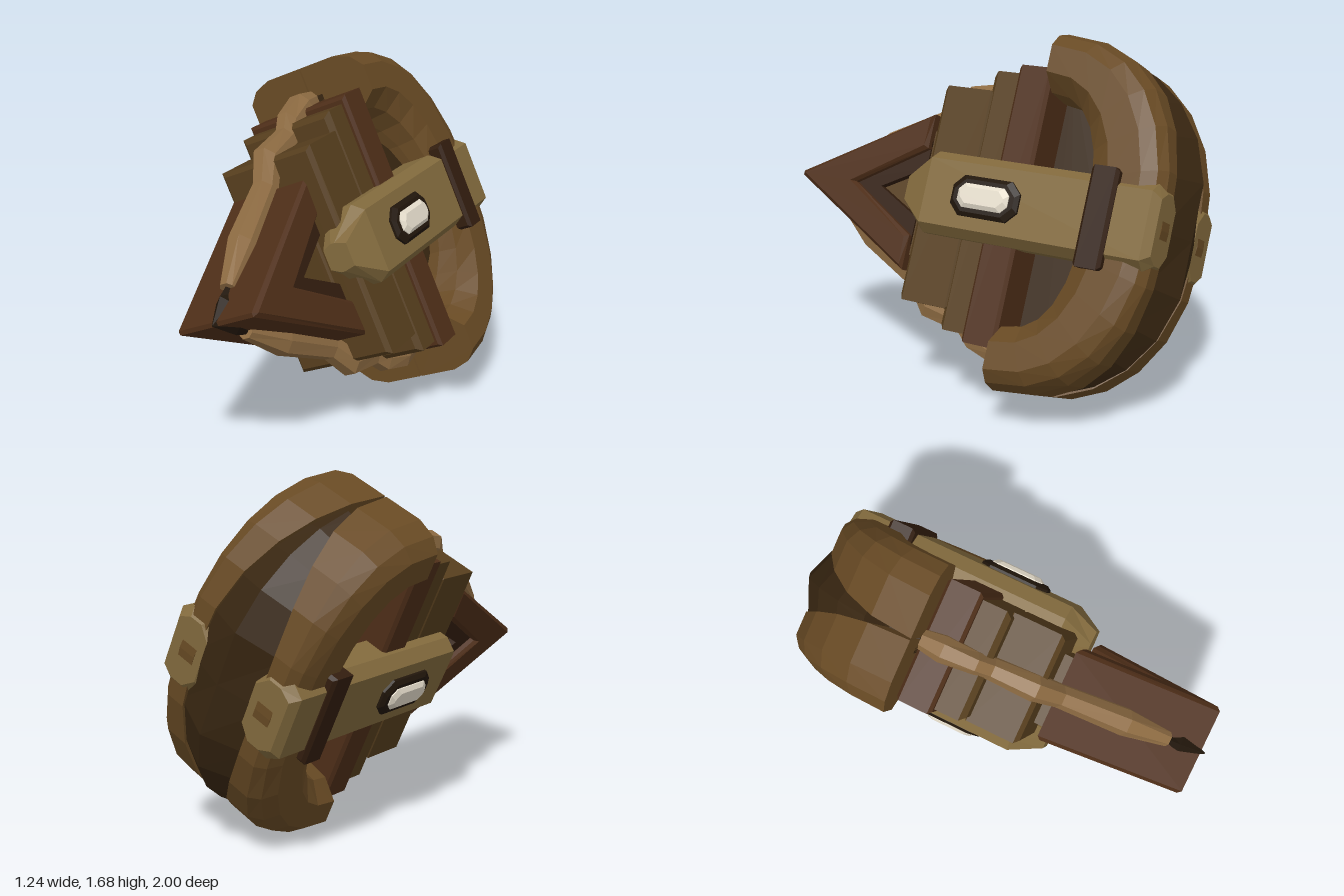
import * as THREE from 'three';

const mat = (color) => new THREE.MeshStandardMaterial({ color, flatShading: true, roughness: 0.9 });
const M = {
  tube: mat(0x684a24), block: mat(0x563e1d), frame: mat(0x4e2e18), dark: mat(0x21160b), keel: mat(0x382611),
  bar: mat(0x826a3d), vine: mat(0x8d6b42), strap: mat(0x321d0e), gem: mat(0xe4dccb),
};

function mesh(name, geometry, material, parent) {
  const m = new THREE.Mesh(geometry, material);
  m.name = name;
  parent.add(m);
  return m;
}

// Closed skin through rings of [x, y, z] points, turned outwards by its volume.
function loft(rings) {
  const tris = [], n = rings[0].length;
  for (let i = 0; i < rings.length - 1; i++) {
    for (let j = 0; j < n; j++) {
      const k = (j + 1) % n, [a, b, c, d] = [rings[i][j], rings[i][k], rings[i + 1][k], rings[i + 1][j]];
      tris.push([a, b, c], [a, c, d]);
    }
  }
  const first = rings[0], last = rings[rings.length - 1];
  for (let j = 1; j < n - 1; j++) {
    tris.push([first[0], first[j + 1], first[j]], [last[0], last[j], last[j + 1]]);
  }
  const V = (p) => new THREE.Vector3(...p);
  let volume = 0;
  for (const [a, b, c] of tris) volume += V(a).dot(V(b).cross(V(c)));
  if (volume < 0) tris.forEach((t) => t.reverse());
  const g = new THREE.BufferGeometry();
  g.setAttribute('position', new THREE.Float32BufferAttribute(tris.flat(2), 3));
  g.computeVertexNormals();
  return g;
}

// Box with bevelled edges, given by half sizes and a z range.
function bevelBox(hx, hy, z0, z1, b) {
  const s = new THREE.Shape();
  const x = hx - b, y = hy - b;
  s.moveTo(-x, -y).lineTo(x, -y).lineTo(x, y).lineTo(-x, y).closePath();
  const g = new THREE.ExtrudeGeometry(s, {
    depth: z1 - z0 - 2 * b, bevelSize: b, bevelThickness: b, bevelSegments: 1,
  });
  return g.translate(0, 0, z0 + b);
}

// Side profile of [z, y] points extruded across x.
function acrossX(points, halfWidth, b) {
  const s = new THREE.Shape(points.map(([z, y]) => new THREE.Vector2(z, y)));
  const g = new THREE.ExtrudeGeometry(s, {
    depth: 2 * (halfWidth - b), bevelEnabled: b > 0, bevelSize: b, bevelOffset: -b,
    bevelThickness: b, bevelSegments: 1,
  });
  return g.translate(0, 0, b - halfWidth).rotateY(-Math.PI / 2);
}

// Eight-sided plate lying on the side of a bar, long along z.
function sidePlate(hz, hy, x0, x1, cut) {
  const ring = (x, k) => {
    const z = hz - k, y = hy - k, c = cut;
    return [[z, y - c], [z - c, y], [c - z, y], [-z, y - c], [-z, c - y], [c - z, -y], [z - c, -y], [z, c - y]]
      .map(([pz, py]) => [x, py, pz - 0.15]);
  };
  return loft([ring(x0, 0), ring(x1 - 0.015, 0), ring(x1, 0.018)]);
}

// Point on the half oval at the back, blended from the inner (0) to the outer (1) rim.
function oval(angle, t) {
  const p = 0.87;
  const c = Math.cos(angle), s = Math.max(0, Math.sin(angle));
  return [
    Math.sign(c) * Math.pow(Math.abs(c), p) * (0.52 + 0.3 * t),
    -0.3 - Math.pow(s, p) * (0.3 + 0.36 * t),
  ];
}

// Everything that occurs twice, half a turn apart around z.
function createHalf() {
  const half = new THREE.Group();

  // Thick curved tube, its inner flank drawing away from the middle
  const section = [[0.004, 1], [0.2, 1], [0.29, 0.9], [0.343, 0.71], [0.343, 0.3], [0.25, 0.05], [0.1, 0], [0.004, 0]];
  const rings = [];
  for (let i = 0; i <= 12; i++) {
    const a = (Math.PI * i) / 12;
    const gap = 0.19 * Math.sin(a) ** 2;
    rings.push(section.map(([x, t]) => {
      const [y, z] = oval(a, t);
      return [x + gap * (1 - x / 0.343), y, z];
    }));
  }
  mesh('curvedTube', loft(rings), M.tube, half);

  // Side bar with a tapered nose and a chamfered end
  const barRing = (z, k, inner, outer) => [
    [inner, 0.12], [inner + 0.06, 0.19], [outer - 0.06, 0.19], [outer, 0.15],
    [outer, -0.15], [outer - 0.06, -0.19], [inner + 0.06, -0.19], [inner, -0.12],
  ].map(([x, y]) => [x, y * k, z]);
  mesh('sideBar', loft([
    barRing(0.31, 0.36, 0.16, 0.3), barRing(0.17, 1, 0.12, 0.365),
    barRing(-0.92, 1, 0.12, 0.365), barRing(-0.957, 0.82, 0.15, 0.335),
  ]), M.bar, half);
  mesh('barStrap', bevelBox(0.1, 0.222, -0.76, -0.63, 0.015).translate(0.285, 0, 0), M.strap, half);
  mesh('gemSetting', sidePlate(0.17, 0.092, 0.34, 0.392, 0.05), M.dark, half);
  mesh('gem', sidePlate(0.128, 0.055, 0.36, 0.412, 0.03), M.gem, half);

  // Faceted ridge strip stepping down the blocks to the wedge: y, z, half width, thickness
  const path = [
    [0.67, -0.29, 0.045, 0.03], [0.67, -0.19, 0.06, 0.045], [0.62, -0.05, 0.05, 0.05], [0.56, 0.02, 0.05, 0.045],
    [0.52, 0.22, 0.06, 0.05], [0.4, 0.32, 0.052, 0.045], [0.24, 0.62, 0.062, 0.05], [0.11, 0.82, 0.035, 0.02],
  ];
  mesh('ridgeStrip', loft(path.map(([y, z, w, h], i) => {
    const a = path[Math.max(0, i - 1)], b = path[Math.min(path.length - 1, i + 1)];
    const len = Math.hypot(b[0] - a[0], b[1] - a[1]);
    const ny = (b[1] - a[1]) / len, nz = (a[0] - b[0]) / len;
    return [[-w, -h], [-w, 0], [-w * 0.5, h], [w * 0.5, h], [w, 0], [w, -h]]
      .map(([x, d]) => [x, y + ny * d, z + nz * d]);
  })), M.vine, half);
  return half;
}

export function createModel() {
  const model = new THREE.Group();
  const body = new THREE.Group();
  body.name = 'body';
  body.rotation.z = THREE.MathUtils.degToRad(25);
  body.position.y = 0.84;
  model.add(body);

  const half = createHalf();
  half.name = 'leftHalf';
  const other = half.clone();
  other.name = 'rightHalf';
  other.rotation.z = Math.PI;
  body.add(half, other);

  // Stepped blocks, touching one another
  mesh('frontBlock', bevelBox(0.26, 0.51, -0.02, 0.25, 0.02), M.block, body);
  mesh('middleBlock', bevelBox(0.26, 0.605, -0.16, 0.01, 0.025), M.block, body);
  mesh('rearFrame', bevelBox(0.287, 0.64, -0.3, -0.13, 0.015), M.frame, body);
  mesh('core', bevelBox(0.17, 0.3, 0.2, 0.33, 0.01), M.block, body);

  // Hollow pointed wedge with a smaller one nested inside
  mesh('wedge', acrossX([[0.975, -0.01], [0.975, 0.01], [0.3, 0.375], [0.3, 0.21], [0.66, 0], [0.3, -0.21], [0.3, -0.375]],
    0.222, 0.018), M.frame, body);
  mesh('innerWedge', acrossX([[0.72, 0], [0.3, 0.25], [0.3, 0.12], [0.53, 0], [0.3, -0.12], [0.3, -0.25]], 0.18, 0), M.strap, body);
  mesh('wedgeCore', acrossX([[0.56, 0], [0.3, 0.13], [0.3, -0.13]], 0.14, 0), M.block, body);

  // Dark point on the nose
  mesh('nosePoint', loft([[0.8, 0.035, 0.12], [0.88, 0.045, 0.09], [0.995, 0.003, 0.003]].map(([z, w, h]) =>
    [[w, h * 0.6], [0, h], [-w, h * 0.6], [-w, -h * 0.6], [0, -h], [w, -h * 0.6]].map(([x, y]) => [x, y, z]))), M.dark, body);

  // Spindle-shaped keel filling the gap between the curved tubes
  const keel = [];
  for (let i = 0; i <= 10; i++) {
    const a = Math.PI * (0.1 + 0.08 * i), s = Math.sin(a) ** 2;
    const w = 0.02 + 0.21 * s;
    keel.push([[-w, 0.4], [-w, 0.93], [0, 0.94 + 0.25 * s], [w, 0.93], [w, 0.4]].map(([x, t]) => {
      const [y, z] = oval(a, t);
      return [x, y, Math.max(z, -1)];
    }));
  }
  mesh('keel', loft(keel), M.keel, body);

  // Wall closing the opening inside the curve
  const wall = [];
  for (let i = 0; i <= 12; i++) {
    const [y, z] = oval((Math.PI * i) / 12, 0.5);
    wall.push([z, y]);
  }
  mesh('innerWall', acrossX(wall, 0.07, 0), M.keel, body);
  return model;
}
